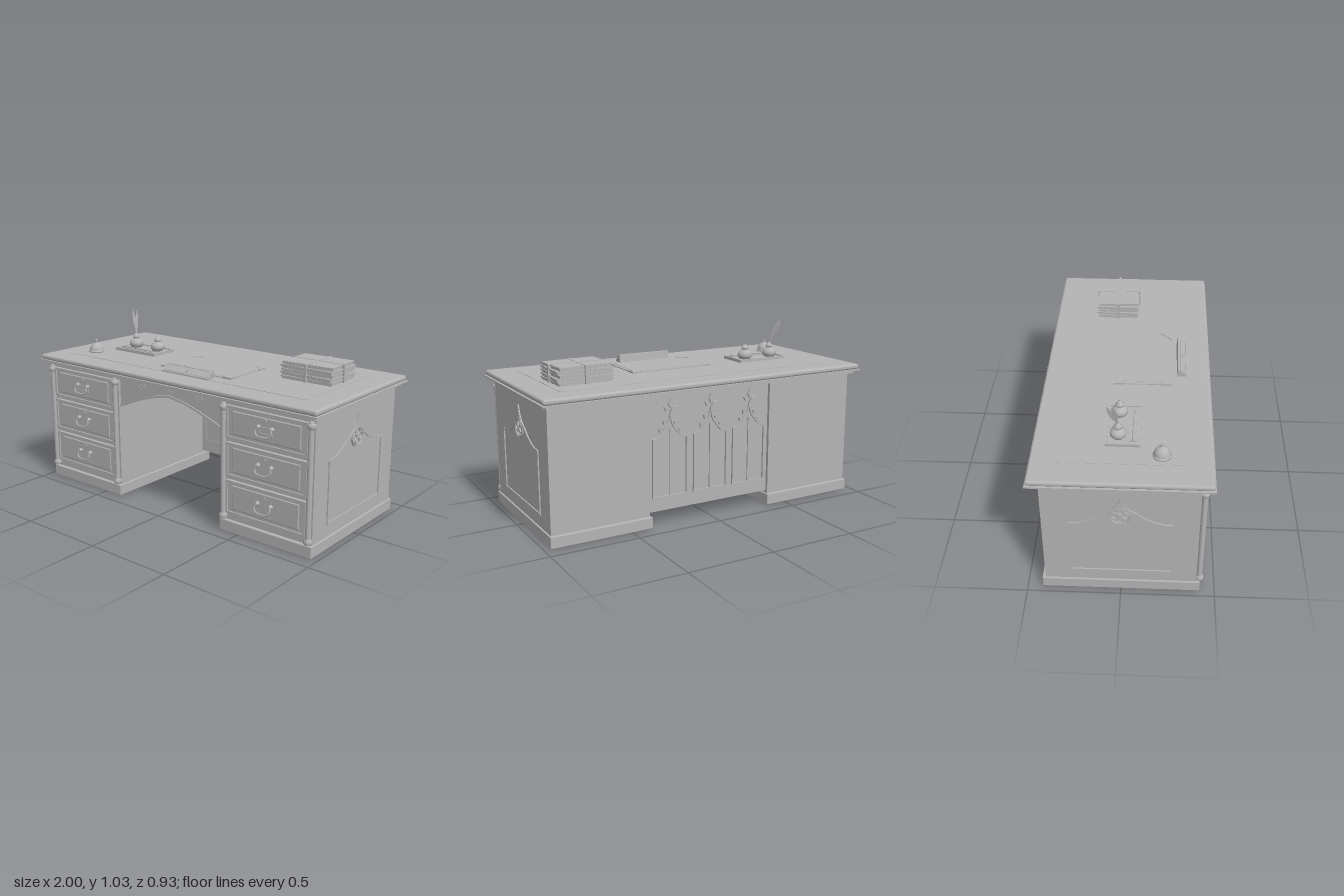
import * as THREE from 'three';
import { RoundedBoxGeometry } from 'three/addons/geometries/RoundedBoxGeometry.js';

const grey = new THREE.MeshStandardMaterial({ color: 0xb4b4b4 });
grey.name = 'grey';

const V2 = (x, y) => new THREE.Vector2(x, y);
const V3 = (x, y, z) => new THREE.Vector3(x, y, z);

function add(parent, name, geo, x = 0, y = 0, z = 0) {
  const m = new THREE.Mesh(geo, grey);
  m.name = name;
  m.position.set(x, y, z);
  parent.add(m);
  return m;
}
function group(parent, name, x = 0, y = 0, z = 0) {
  const g = new THREE.Group();
  g.name = name;
  g.position.set(x, y, z);
  parent.add(g);
  return g;
}
// box given by its lower and upper limits
function block(parent, name, x0, x1, y0, y1, z0, z1) {
  return add(parent, name, new THREE.BoxGeometry(x1 - x0, y1 - y0, z1 - z0), (x0 + x1) / 2, (y0 + y1) / 2, (z0 + z1) / 2);
}
function extrude(outline, depth, hole) {
  const s = new THREE.Shape(outline);
  if (hole) s.holes.push(new THREE.Path(hole));
  return new THREE.ExtrudeGeometry(s, { depth, bevelEnabled: false });
}
const lathe = (pts, n = 24) => new THREE.LatheGeometry(pts.map(p => V2(...p)), n);
const rect = (w, h) => [V2(-w, -h), V2(w, -h), V2(w, h), V2(-w, h)];

// ogee-topped outline: half width, sill, shoulder and peak heights
function ogee(w, y0, ys, yp) {
  const half = [[1, 0], [0.82, 0.02], [0.65, 0.09], [0.48, 0.22], [0.3, 0.41], [0.15, 0.55], [0.06, 0.72], [0.015, 0.9]]
    .map(([a, b]) => V2(a * w, ys + b * (yp - ys)));
  const left = half.map(p => V2(-p.x, p.y)).reverse();
  return [V2(-w, y0), V2(w, y0), ...half, V2(0, yp), ...left];
}
function ogeeFrame(parent, w, y0, ys, yp, t, depth) {
  add(parent, 'ogeeMoulding', extrude(ogee(w, y0, ys, yp), depth, ogee(w - t, y0 + t, ys - t, yp - 3.5 * t)));
}
// four-lobed ornament, optionally inside a ring
function quatrefoil(parent, x, y, r, depth, ring) {
  const g = group(parent, 'quatrefoil', x, y, 0);
  const disc = (rad) => new THREE.Path().absarc(0, 0, rad, 0, Math.PI * 2).getPoints(14).slice(0, -1);
  if (ring) add(g, 'rosetteRing', extrude(disc(r), depth, disc(r * 0.88)));
  for (let i = 0; i < 4; i++) {
    const a = i * Math.PI / 2;
    add(g, 'lobe', extrude(disc(r * 0.4), depth * 0.9, disc(r * 0.28)), Math.cos(a) * r * 0.47, Math.sin(a) * r * 0.47);
  }
  add(g, 'lobeCentre', extrude(disc(r * 0.13), depth));
}

function drawer(parent, x, y0, y1, first) {
  const g = group(parent, 'drawer', x, (y0 + y1) / 2, 0.4);
  const h = (y1 - y0) / 2, w = 0.252;
  add(g, 'drawerFront', extrude(rect(w, h), 0.012));
  add(g, 'drawerRim', extrude(rect(w, h), 0.02, rect(w - 0.012, h - 0.012)));
  add(g, 'drawerField', new THREE.ExtrudeGeometry(new THREE.Shape(rect(0.207, h - 0.03)),
    { depth: 0.01, bevelSize: 0.008, bevelThickness: 0.006, bevelSegments: 1 }));
  // swinging bail handle with its two mounts
  for (const s of [-1, 1]) {
    const m = add(g, 'handleMount', new THREE.CylinderGeometry(0.009, 0.013, 0.022, 12), s * 0.042, 0.012, 0.025);
    m.rotation.x = Math.PI / 2;
  }
  const bail = new THREE.CatmullRomCurve3([V3(-0.042, 0.012, 0.034), V3(-0.05, -0.006, 0.038), V3(-0.036, -0.026, 0.045),
    V3(0, -0.031, 0.047), V3(0.036, -0.026, 0.045), V3(0.05, -0.006, 0.038), V3(0.042, 0.012, 0.034)]);
  add(g, 'handle', new THREE.TubeGeometry(bail, 24, 0.005, 6));
  if (first) add(g, 'handlePlate', extrude(rect(0.046, 0.02), 0.006, rect(0.038, 0.012)), 0, -0.005, 0.014);
  const k = add(g, 'keyholePlate', new THREE.CylinderGeometry(0.008, 0.008, 0.006, 10), 0, 0.045, 0.018);
  k.rotation.x = Math.PI / 2;
  k.scale.z = 1.5;
}

function pedestal(desk, side) {
  const g = group(desk, side > 0 ? 'leftPedestal' : 'rightPedestal');
  const c = side * 0.672;
  add(g, 'plinth', new RoundedBoxGeometry(0.588, 0.066, 0.84, 1, 0.005), c, 0.033, 0);
  block(g, 'carcass', c - 0.285, c + 0.285, 0.06, 0.735, -0.403, 0.4);
  for (const [i, [a, b]] of [[0.53, 0.708], [0.32, 0.508], [0.11, 0.298]].entries()) drawer(g, c, a, b, i === 0);
  // corner columns with turned base and capital
  const prof = [[0, 0.072], [0.018, 0.075], [0.023, 0.08], [0.023, 0.096], [0.017, 0.102], [0.015, 0.11], [0.015, 0.675],
    [0.018, 0.684], [0.023, 0.688], [0.023, 0.702], [0.018, 0.708], [0.012, 0.712], [0.012, 0.73], [0, 0.73]];
  for (const dx of [-0.27, 0.27]) add(g, 'column', lathe(prof, 16), c + dx, 0, 0.416);
  // ogee panel and rosette on the outer side
  const p = group(g, 'sidePanel', c + side * 0.284, 0, 0);
  p.rotation.y = side * Math.PI / 2;
  ogeeFrame(p, 0.27, 0.135, 0.485, 0.675, 0.01, 0.008);
  quatrefoil(p, 0, 0.545, 0.058, 0.011, true);
  add(p, 'peakLeaf', extrude([V2(-0.022, 0.603), V2(0.022, 0.603), V2(0.006, 0.63), V2(0, 0.67), V2(-0.006, 0.63)], 0.009));
}

function kneehole(desk) {
  const g = group(desk, 'kneehole');
  block(g, 'modestyPanel', -0.39, 0.39, 0.08, 0.735, -0.385, -0.355);
  // pointed-arch apron between the pedestals
  const arch = d => [-1, -0.75, -0.5, -0.25, 0, 0.25, 0.5, 0.75, 1]
    .map(t => V2(t * 0.39, 0.665 - d - 0.12 * Math.pow(Math.abs(t), 1.45)));
  add(g, 'apron', extrude([...arch(0), V2(0.39, 0.735), V2(-0.39, 0.735)], 0.025), 0, 0, 0.36);
  add(g, 'archMoulding', extrude([...arch(0), ...arch(-0.013).reverse()], 0.008), 0, 0, 0.384);
  for (const x of [-0.21, 0, 0.21]) quatrefoil(group(g, 'apronOrnament', 0, 0, 0.384), x, 0.698, 0.027, 0.004, false);
  // three traceried windows on both faces of the panel
  for (const back of [true, false]) {
    const face = group(g, back ? 'backTracery' : 'frontTracery', 0, 0, back ? -0.384 : -0.356);
    if (back) face.rotation.y = Math.PI;
    for (const x of [-0.255, 0, 0.255]) {
      const w = group(face, 'window', x, 0, 0);
      ogeeFrame(w, 0.109, 0.155, 0.49, 0.64, 0.009, back ? 0.012 : 0.006);
      if (!back) continue;
      block(w, 'mullion', -0.005, 0.005, 0.16, 0.54, 0, 0.009);
      // leafy finial and crockets
      const leaf = (lx, ly, s, a) => {
        const m = add(w, 'leaf', extrude([V2(0, -s), V2(s * 0.6, 0), V2(0, s * 1.3), V2(-s * 0.6, 0)], 0.014), lx, ly, 0);
        m.rotation.z = a;
      };
      leaf(0, 0.675, 0.023, 0);
      for (const s of [-1, 1]) {
        leaf(s * 0.02, 0.645, 0.02, -s * 0.9);
        leaf(s * 0.034, 0.57, 0.016, -s * 0.6);
        leaf(s * 0.06, 0.528, 0.014, -s * 0.6);
      }
    }
  }
}

function deskTop(desk) {
  const g = group(desk, 'deskTop');
  block(g, 'cornice', -0.97, 0.97, 0.73, 0.75, -0.437, 0.437);
  block(g, 'lip', -1, 1, 0.75, 0.758, -0.465, 0.465);
  add(g, 'slab', new RoundedBoxGeometry(1.988, 0.031, 0.92, 3, 0.013), 0, 0.7725, 0);
  const inlay = add(g, 'writingSurface', extrude(rect(0.848, 0.325), 0.003), 0, 0.787, 0);
  inlay.rotation.x = -Math.PI / 2;
}

function bell(desk) {
  const g = group(desk, 'callBell', -0.775, 0.79, 0.2);
  add(g, 'bellDome', lathe([[0, 0], [0.048, 0], [0.048, 0.006], [0.042, 0.009], [0.042, 0.016], [0.039, 0.029], [0.032, 0.041],
    [0.02, 0.051], [0.005, 0.056], [0.004, 0.068], [0, 0.068]]));
  add(g, 'bellButton', new THREE.SphereGeometry(0.008, 12, 8), 0, 0.07, 0);
}

function inkstand(desk) {
  const g = group(desk, 'inkstand');
  block(g, 'tray', -0.72, -0.395, 0.788, 0.8, -0.09, 0.09);
  const rim = add(g, 'trayRim', extrude(rect(0.1625, 0.09), 0.007, rect(0.152, 0.08)), -0.5575, 0.8, 0);
  rim.rotation.x = -Math.PI / 2;
  for (const x of [-0.65, -0.47]) {
    add(g, 'inkwell', lathe([[0, 0], [0.03, 0], [0.041, 0.012], [0.043, 0.026], [0.038, 0.042], [0.02, 0.052], [0.015, 0.058],
      [0.022, 0.062], [0.022, 0.07], [0.012, 0.076], [0.012, 0.084], [0, 0.087]], 20), x, 0.8, -0.025);
  }
  const pen = add(g, 'pen', new THREE.CylinderGeometry(0.005, 0.003, 0.27, 8), -0.555, 0.811, 0.052);
  pen.rotation.z = Math.PI / 2;
  block(g, 'penRest', -0.69, -0.42, 0.799, 0.807, 0.035, 0.068);
  // two quills leaning out of one inkwell
  const vane = [V2(-0.003, 0), V2(0.003, 0), V2(0.004, 0.03), V2(0.013, 0.06), V2(0.013, 0.1), V2(0.001, 0.162),
    V2(-0.012, 0.11), V2(-0.012, 0.06), V2(-0.004, 0.03)];
  for (const [tx, tz] of [[-0.052, -0.024], [-0.045, -0.057]]) {
    const q = add(g, 'quill', extrude(vane, 0.003), -0.65, 0.88, -0.028);
    const up = V3(tx, 0.152, tz).normalize();
    const across = V3(0.25, 0, 1).projectOnPlane(up).normalize();
    q.quaternion.setFromRotationMatrix(new THREE.Matrix4().makeBasis(across, up, across.clone().cross(up)));
  }
}

function blotter(desk) {
  const g = group(desk, 'blotter', 0.06, 0.79, 0.085);
  g.rotation.x = -Math.PI / 2;
  add(g, 'blotterPad', extrude(rect(0.25, 0.155), 0.005));
  add(g, 'paper', extrude(rect(0.232, 0.138), 0.007));
  for (const sx of [-1, 1]) for (const sy of [-1, 1]) {
    add(g, 'cornerHolder', extrude([V2(sx * 0.255, sy * 0.16), V2(sx * 0.195, sy * 0.16), V2(sx * 0.255, sy * 0.1)], 0.01));
  }
}

function deskPlate(desk) {
  const g = group(desk, 'deskPlate', -0.105, 0.79, 0);
  // wedge running along x, sloping towards the front
  const wedge = extrude([V2(-0.332, 0), V2(-0.275, 0), V2(-0.28, 0.045), V2(-0.288, 0.046), V2(-0.332, 0.007)], 0.33);
  add(g, 'plateWedge', wedge).rotation.y = Math.PI / 2;
  const face = group(g, 'plateFace', 0.165, 0.027, 0.31);
  face.rotation.x = -0.84;
  add(face, 'plateBorder', extrude(rect(0.155, 0.024), 0.003, rect(0.147, 0.018)));
  const d = add(face, 'plateBoss', new THREE.CylinderGeometry(0.012, 0.012, 0.006, 14), 0, 0, 0.002);
  d.rotation.x = Math.PI / 2;
}

function papers(desk) {
  const g = group(desk, 'paperBundle', 0.655, 0.79, -0.085);
  const sheets = [[0.32, 0.25, 0.02], [0.325, 0.25, -0.03], [0.315, 0.245, 0.035], [0.325, 0.25, -0.015], [0.31, 0.24, 0.045]];
  sheets.forEach(([w, d, a], i) => {
    const y = 0.01 + i * 0.0195;
    const s = group(g, 'packet', 0, y, 0);
    s.rotation.y = a;
    add(s, 'pages', new THREE.BoxGeometry(w - 0.012, 0.0196, d - 0.012));
    add(s, 'cover', new THREE.BoxGeometry(w, 0.008, d), 0, 0.005, 0);
  });
  add(g, 'ribbonAcross', new THREE.BoxGeometry(0.334, 0.1, 0.014), 0, 0.05, 0);
  add(g, 'ribbonAlong', new THREE.BoxGeometry(0.014, 0.1, 0.262), 0, 0.05, 0);
}

export function createModel() {
  const desk = new THREE.Group();
  desk.name = 'writingDesk';
  for (const side of [-1, 1]) pedestal(desk, side);
  for (const part of [kneehole, deskTop, bell, inkstand, blotter, deskPlate, papers]) part(desk);
  return desk;
}
